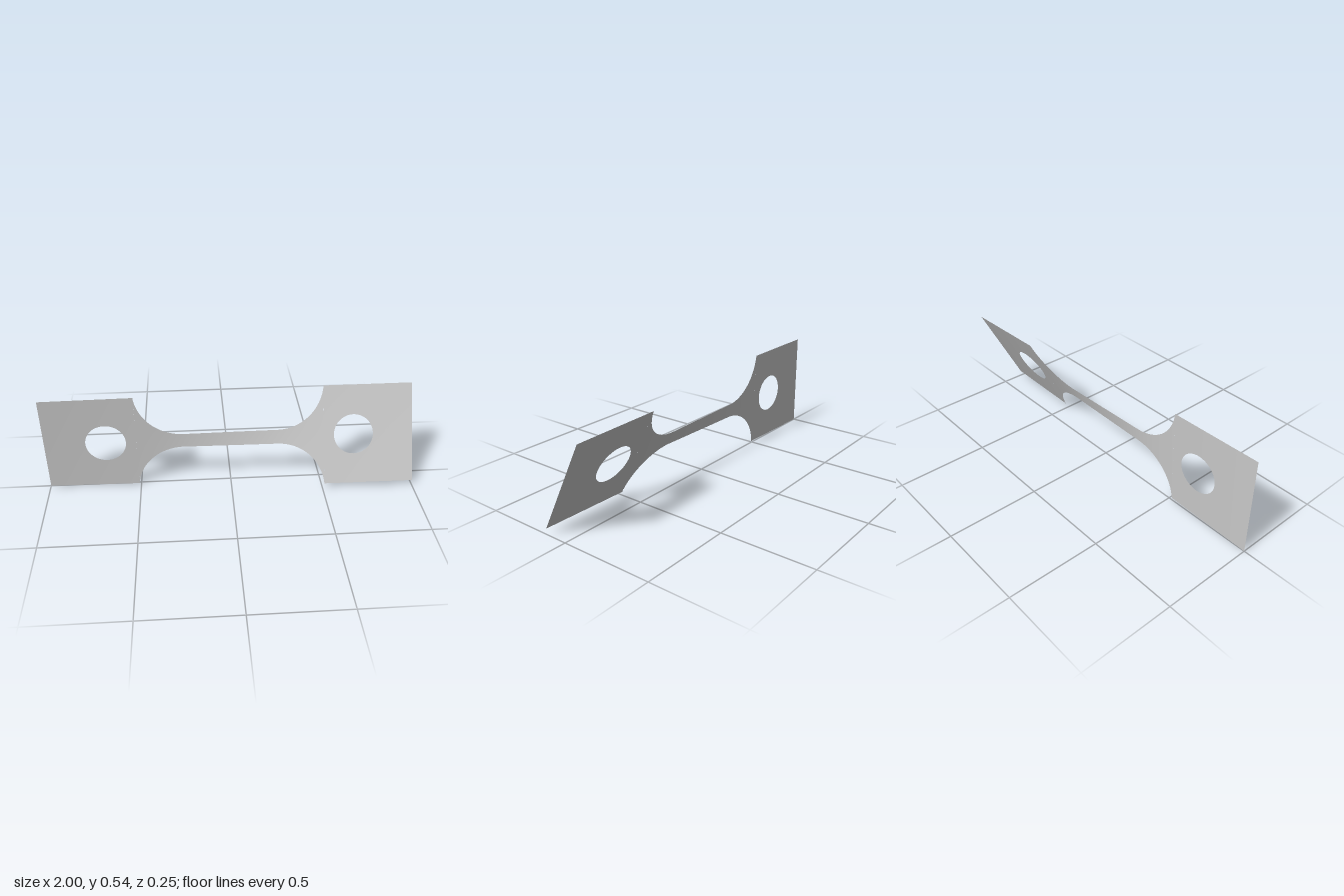
import * as THREE from 'three';
import { mergeGeometries, mergeVertices } from 'three/addons/utils/BufferGeometryUtils.js';

const MID = 0.2705;                        // height of the twist axis, and half the tab width
const TAB = 0.51;                          // where the tabs begin
const HOLE = { x: 0.673, r: 0.108 };
const FILLET = { x: 0.2545, v: 0.2955, r: 0.257 };
const TWIST = THREE.MathUtils.degToRad(27.3);

// Half width of the flat outline along the bar
function halfWidth(x) {
  const a = Math.abs(x);
  if (a >= TAB) return MID;
  const d = Math.max(0, a - FILLET.x);
  return FILLET.v - Math.sqrt(FILLET.r ** 2 - d ** 2);
}

// Twist angle: narrow sections turn more than wide ones
const STEPS = 800;
const turns = [0];
for (let i = 0; i < STEPS; i++) {
  turns.push(turns[i] + 1 / halfWidth(-1 + (2 * (i + 0.5)) / STEPS));
}
function twistAt(x) {
  const t = THREE.MathUtils.clamp((x + 1) / 2, 0, 1) * STEPS;
  const i = Math.min(STEPS - 1, Math.floor(t));
  return TWIST * THREE.MathUtils.lerp(turns[i], turns[i + 1], t - i) / turns[STEPS];
}

// Twisted sheet between two edges, low(x) and high(x), over given columns
function sheet(xs, low, high, rows = 10) {
  const geo = new THREE.PlaneGeometry(1, 1, xs.length - 1, rows);
  const pos = geo.attributes.position;
  for (let i = 0; i < pos.count; i++) {
    const x = xs[i % xs.length];
    const row = Math.floor(i / xs.length) / rows;
    const v = THREE.MathUtils.lerp(high(x), low(x), row);
    const a = twistAt(x);
    pos.setXYZ(i, x, MID + v * Math.cos(a), -v * Math.sin(a));
  }
  geo.deleteAttribute('uv');
  geo.deleteAttribute('normal');
  return geo;
}

function range(a, b, n) {
  return Array.from({ length: n + 1 }, (_, i) => a + ((b - a) * i) / n);
}

function join(parts) {
  const geo = mergeVertices(mergeGeometries(parts), 1e-5);
  geo.computeVertexNormals();
  return geo;
}

// Square end tab with a round hole
function tabGeometry(side) {
  const c = side * HOLE.x;
  const edge = [side * TAB, side].sort((a, b) => a - b);
  const top = () => MID, bottom = () => -MID;
  const rim = (x) => Math.sqrt(Math.max(0, HOLE.r ** 2 - (x - c) ** 2));
  // columns bunch up at the sides of the hole to keep its rim round
  const holeXs = range(0, Math.PI, 32).map((t) => c - HOLE.r * Math.cos(t));
  return join([
    sheet(range(edge[0], c - HOLE.r, 8), bottom, top, 20),
    sheet(range(c + HOLE.r, edge[1], 8), bottom, top, 20),
    sheet(holeXs, rim, top),
    sheet(holeXs, bottom, (x) => -rim(x)),
  ]);
}

// Curved shoulder, with columns bunched towards the steep end
function shoulderGeometry(side) {
  const xs = range(0, Math.PI / 2, 28).map(
    (t) => side * (FILLET.x + (TAB - 1e-4 - FILLET.x) * Math.sin(t)));
  if (side < 0) xs.reverse();
  return join([sheet(xs, (x) => -halfWidth(x), halfWidth, 20)]);
}

export function createModel() {
  const model = new THREE.Group();
  model.name = 'twistedTestBar';
  const metal = new THREE.MeshStandardMaterial({ color: 0xc8c8c8, side: THREE.DoubleSide });
  metal.name = 'plain grey metal';

  const add = (name, geo) => {
    const mesh = new THREE.Mesh(geo, metal);
    mesh.name = name;
    model.add(mesh);
  };

  // Slim middle section
  add('neck', join([
    sheet(range(-FILLET.x, FILLET.x, 40), (x) => -halfWidth(x), halfWidth, 6),
  ]));

  // Mirrored ends, carried round by the twist
  for (const [side, label] of [[1, 'left'], [-1, 'right']]) {
    add(label + 'Shoulder', shoulderGeometry(side));
    add(label + 'Tab', tabGeometry(side));
  }
  return model;
}
